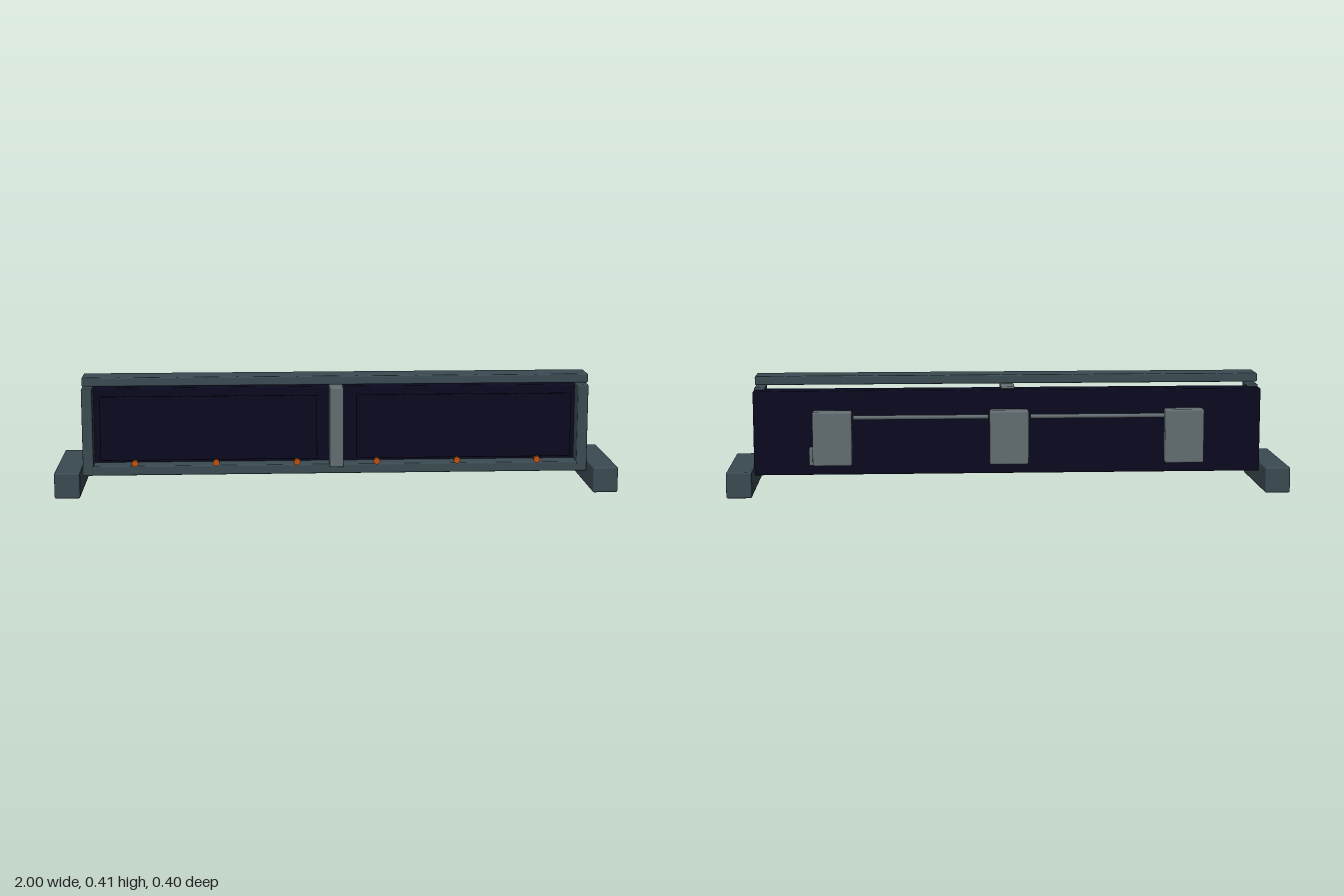
import * as THREE from 'three';
import { RoundedBoxGeometry } from 'three/addons/geometries/RoundedBoxGeometry.js';

function material(name, color) {
  const m = new THREE.MeshStandardMaterial({ color });
  m.name = name;
  return m;
}

export function createModel() {
  const model = new THREE.Group();
  model.name = 'displayBarrier';

  const slate = material('slate frame', 0x3b4a52);
  const navy = material('dark navy panel', 0x0a0a1f);
  const grey = material('grey metal', 0x636e72);
  const orange = material('orange lamp', 0xc1500f);

  // Soft-edged box given by its extents on each axis
  function box(name, mat, [x0, x1], [y0, y1], [z0, z1], radius = 0.005) {
    const geometry = new RoundedBoxGeometry(x1 - x0, y1 - y0, z1 - z0, 2, radius);
    const mesh = new THREE.Mesh(geometry, mat);
    mesh.name = name;
    mesh.position.set((x0 + x1) / 2, (y0 + y1) / 2, (z0 + z1) / 2);
    model.add(mesh);
  }

  function cylinder(name, mat, radius, length, sides, axis, x, y, z) {
    const geometry = new THREE.CylinderGeometry(radius, radius, length, sides);
    if (axis === 'x') geometry.rotateZ(Math.PI / 2);
    else geometry.rotateX(Math.PI / 2);
    const mesh = new THREE.Mesh(geometry, mat);
    mesh.name = name;
    mesh.position.set(x, y, z);
    model.add(mesh);
  }

  // Frame: bottom beam, floating top rail, centre divider
  box('bottomBeam', slate, [-0.908, 0.908], [0.055, 0.09], [-0.027, 0.075]);
  box('topRail', slate, [-0.907, 0.907], [0.38, 0.412], [-0.027, 0.077]);
  box('centreDivider', grey, [-0.025, 0.025], [0.08, 0.371], [-0.034, 0.089]);

  // Large panel behind the frame
  box('backPanel', navy, [-0.912, 0.912], [0.06, 0.363], [-0.073, 0.009]);

  // Parts repeated on both sides
  for (const [side, s] of [['left', 1], ['right', -1]]) {
    const span = (a, b) => (s > 0 ? [a, b] : [-b, -a]);
    box(side + 'Foot', slate, span(0.91, 1), [0.002, 0.095], [-0.202, 0.202], 0.007);
    box(side + 'Post', slate, span(0.872, 0.91), [0.055, 0.372], [-0.031, 0.076]);
    box(side + 'Screen', navy, span(0.07, 0.845), [0.113, 0.344], [0.073, 0.091], 0.004);
    cylinder(side + 'CableRod', grey, 0.008, 0.48, 12, 'x', s * 0.315, 0.275, -0.13);

    // Row of small lamps along the lower edge
    for (const x of [0.143, 0.432, 0.721])
      cylinder(side + 'Lamp', orange, 0.0125, 0.015, 8, 'z', s * x, 0.107, 0.107);
  }

  // Control boxes on the back, with a small connector beside one
  for (const x of [-0.63, 0, 0.63])
    box('controlBox', grey, [x - 0.07, x + 0.07], [0.1, 0.295], [-0.127, -0.077], 0.007);
  box('connectorBox', grey, [0.67, 0.714], [0.098, 0.162], [-0.1, -0.07], 0.004);

  return model;
}
